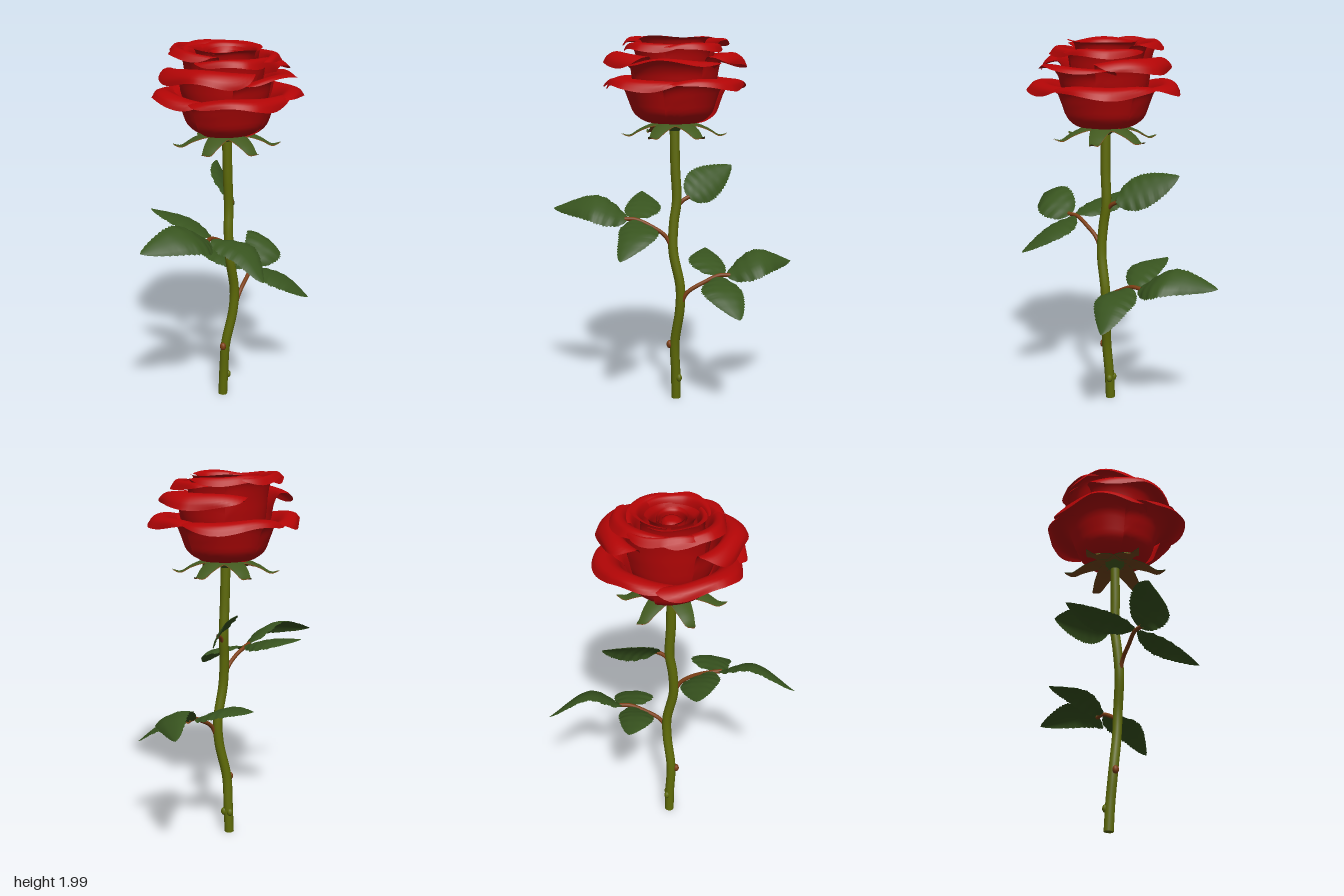
import * as THREE from 'three';

const V = (p) => new THREE.Vector3(...p);
const mat = (name, color, side = THREE.DoubleSide) => {
  const m = new THREE.MeshStandardMaterial({ color, side });
  m.name = name;
  return m;
};

// Sheet shaped by a rule: u runs -1..1 across, v runs 0..1 along
function sheet(nu, nv, rule) {
  const g = new THREE.PlaneGeometry(1, 1, nu, nv);
  const pos = g.attributes.position, uv = g.attributes.uv;
  for (let i = 0; i < pos.count; i++) {
    const p = rule(uv.getX(i) * 2 - 1, uv.getY(i));
    pos.setXYZ(i, p.x, p.y, p.z);
  }
  g.computeVertexNormals();
  return g;
}

const profileCurve = (pts) => new THREE.CatmullRomCurve3(pts.map(([r, y]) => V([r, y, 0])));

// Petal: a radius/height profile swept over an angle, with rounded corners and a wavy, drooping lip
function petalGeometry(angle, half, pts, { wave = 0.012, twist = 0.015, corner = 0.36, droop = 0.06, phase = 0 } = {}) {
  const curve = profileCurve(pts);
  return sheet(30, 24, (u, v) => {
    const t = v * (1 - corner * Math.pow(Math.abs(u), 3.5));
    const p = curve.getPoint(t);
    const lip = Math.pow(t, 4);
    const r = p.x + twist * u * Math.min(1, v * 2) + lip * (0.025 * Math.pow(1 - Math.abs(u), 2) + wave * 0.7 * Math.cos(6 * u + phase));
    const y = p.y + lip * wave * Math.sin(5 * u + phase) - t * t * droop * u * u;
    const a = angle + u * half;
    return new THREE.Vector3(r * Math.cos(a), y, r * Math.sin(a));
  });
}

// Leaf: ovate blade along a curve, edges cupped down, with a toothed outline
function leafGeometry(base, mid, tip, side, width) {
  const curve = new THREE.CatmullRomCurve3([V(base), V(mid), V(tip)]);
  const rows = 40, across = V(side).normalize();
  return sheet(6, rows, (u, v) => {
    const normal = curve.getTangent(v).cross(across).normalize();
    if (normal.y < 0) normal.negate();
    const tooth = Math.abs(u) > 0.99 && Math.round(v * rows) % 2 ? 0.93 : 1;
    const w = width * Math.pow(Math.max(0, Math.sin(Math.PI * Math.pow(v, 0.8))), 0.8) * tooth;
    const lift = w * (0.14 * Math.abs(u) - 0.36 * u * u) + 0.004 * Math.sin(v * 40) * Math.abs(u) * (1 - v);
    return curve.getPoint(v).addScaledVector(across, u * w).addScaledVector(normal, lift);
  });
}

export function createModel() {
  const root = new THREE.Group();
  root.name = 'rose';
  const red = mat('petal red', 0xb40506);
  const green = mat('leaf green', 0x38541f);
  const stemGreen = mat('stem olive', 0x5e6a08);
  const brown = mat('stalk brown', 0x7c3e14);
  const sepalTop = mat('sepal green', 0x42591f);
  const sepalUnder = mat('sepal brown', 0x74461a);
  const add = (parent, name, geometry, material) => {
    const m = new THREE.Mesh(geometry, material);
    m.name = name;
    parent.add(m);
    return m;
  };
  const group = (name) => {
    const g = new THREE.Group();
    g.name = name;
    root.add(g);
    return g;
  };
  const tube = (pts, r, n) => new THREE.TubeGeometry(new THREE.CatmullRomCurve3(pts.map(V)), n, r, 14);

  // Stem with its cut end
  const stemPts = [[-0.03, 0, -0.01], [-0.022, 0.15, -0.008], [-0.008, 0.32, -0.002], [0.025, 0.52, -0.028], [0.032, 0.65, -0.03],
    [0.022, 0.85, 0.008], [0.012, 1.0, 0.004], [0.006, 1.12, -0.012], [0.004, 1.3, -0.004], [0, 1.54, 0]];
  add(root, 'stem', tube(stemPts, 0.026, 60), stemGreen);
  const end = add(root, 'stemEnd', new THREE.CircleGeometry(0.026, 14), stemGreen);
  end.position.set(-0.03, 0.001, -0.01);
  end.rotation.x = Math.PI / 2;

  // Thorn buds
  for (const [x, y, z, m] of [[-0.01, 0.315, 0.028, brown], [-0.006, 0.12, -0.026, stemGreen], [-0.042, 0.12, -0.022, stemGreen]]) {
    const bud = add(root, 'thornBud', new THREE.SphereGeometry(0.016, 12, 8), m);
    bud.position.set(x, y, z);
    bud.scale.set(1.1, 1.4, 1);
  }

  // Leaf stalks
  const leaves = group('leaves');
  const stalks = [
    [[0.022, 0.85, 0.01], [0.022, 0.93, 0.05], [0.02, 0.98, 0.12], [0.01, 1.02, 0.21], [0.02, 1.025, 0.27]],
    [[0.035, 0.54, -0.03], [0.048, 0.62, -0.065], [0.05, 0.68, -0.16], [0.045, 0.715, -0.24], [0.04, 0.715, -0.3]],
    [[0.004, 1.08, -0.01], [0.002, 1.12, -0.045], [-0.005, 1.14, -0.08]],
  ];
  for (const s of stalks) add(leaves, 'leafStalk', tube(s, 0.011, 20), brown);

  // Leaf blades: base, middle, tip, sideways direction, half width
  const blades = [
    [[0.02, 1.02, 0.25], [0.0, 1.1, 0.43], [-0.15, 1.06, 0.66], [0.86, -0.5, 0.15], 0.12],
    [[0.01, 1.025, 0.21], [-0.17, 1.085, 0.16], [-0.37, 1.12, 0.17], [0.03, 0.1, 1], 0.1],
    [[0.02, 1.02, 0.22], [0.2, 0.98, 0.2], [0.35, 0.86, 0.29], [-0.15, -0.05, 1], 0.11],
    [[0.04, 0.71, -0.28], [0.03, 0.8, -0.46], [-0.15, 0.75, -0.66], [0.86, -0.45, -0.15], 0.12],
    [[0.04, 0.71, -0.23], [-0.12, 0.78, -0.18], [-0.3, 0.8, -0.19], [0.03, 0.05, 1], 0.1],
    [[0.05, 0.71, -0.24], [0.22, 0.67, -0.25], [0.36, 0.55, -0.32], [0.1, 0.05, 1], 0.115],
    [[-0.003, 1.135, -0.07], [-0.105, 1.215, -0.185], [-0.22, 1.285, -0.33], [-0.3, 0.7, 0.65], 0.105],
  ];
  for (const b of blades) add(leaves, 'leaf', leafGeometry(...b), green);

  // Calyx and six drooping sepals, green above with a brown underside
  const calyx = group('calyx');
  add(calyx, 'receptacle', new THREE.CylinderGeometry(0.07, 0.027, 0.05, 18), sepalTop).position.y = 1.52;
  const sepalCurve = profileCurve([[0.02, 1.537], [0.1, 1.54], [0.18, 1.51], [0.24, 1.475], [0.285, 1.485]]);
  for (let k = 0; k < 6; k++) {
    const a = Math.PI / 2 + (k * Math.PI) / 3;
    const sepal = (drop) => sheet(6, 14, (u, v) => {
      const p = sepalCurve.getPoint(v);
      const w = u * 0.068 * Math.pow(1 - v, 0.75);
      const y = p.y - 0.016 * u * u * (1 - v) - drop;
      return new THREE.Vector3(p.x * Math.cos(a) - w * Math.sin(a), y, p.x * Math.sin(a) + w * Math.cos(a));
    });
    add(calyx, 'sepal', sepal(0), sepalTop);
    add(calyx, 'sepalUnderside', sepal(0.004), sepalUnder);
  }

  // Bloom: rings of petals from the outside in
  const bloom = group('bloom');
  const lower = [[0.02, 1.545], [0.13, 1.54], [0.2, 1.585], [0.23, 1.66], [0.26, 1.735], [0.31, 1.775], [0.36, 1.765], [0.375, 1.73]];
  const upper = [[0.1, 1.58], [0.19, 1.66], [0.22, 1.75], [0.235, 1.84], [0.265, 1.9], [0.31, 1.905], [0.345, 1.875], [0.35, 1.84]];
  const right = [[0.1, 1.58], [0.19, 1.66], [0.22, 1.74], [0.235, 1.81], [0.27, 1.86], [0.33, 1.87], [0.35, 1.855]];
  const tall = [[0.1, 1.58], [0.19, 1.66], [0.215, 1.78], [0.225, 1.88], [0.24, 1.955], [0.265, 1.99], [0.285, 1.96]];
  const middle = [[0.1, 1.62], [0.165, 1.72], [0.185, 1.84], [0.195, 1.91], [0.215, 1.95], [0.245, 1.95], [0.26, 1.915]];
  const middleTall = [[0.1, 1.62], [0.165, 1.72], [0.185, 1.84], [0.2, 1.92], [0.225, 1.975], [0.26, 1.985], [0.285, 1.95]];
  const inner = [[0.06, 1.65], [0.13, 1.75], [0.15, 1.86], [0.148, 1.93], [0.16, 1.975], [0.18, 1.985]];
  const heart = [[0.05, 1.65], [0.095, 1.76], [0.108, 1.86], [0.1, 1.93], [0.11, 1.965]];
  const bud = [[0.04, 1.65], [0.07, 1.78], [0.076, 1.88], [0.07, 1.94], [0.074, 1.955]];
  const ring = (name, start, half, profiles, opts) => profiles.forEach((pts, k) => {
    const angle = start + (k * 2 * Math.PI) / profiles.length;
    add(bloom, name, petalGeometry(angle, half, pts, { ...opts, phase: k * 1.7 }), red);
  });
  ring('lowerPetal', Math.PI / 4, 1.04, [lower, lower, lower, lower], { wave: 0.018 });
  ring('upperPetal', 0, 1.0, [right, upper, tall, upper], { wave: 0.015 });
  ring('middlePetal', Math.PI / 4, 1.05, [middle, middleTall, middleTall, middle], { wave: 0.01, corner: 0.25, droop: 0.04 });
  ring('innerPetal', 0.3, 1.3, [inner, inner, inner], { wave: 0.005, corner: 0.1, droop: 0.01 });
  ring('heartPetal', 1.3, 1.75, [heart, heart], { wave: 0.002, corner: 0.03, twist: 0.01, droop: 0 });
  ring('budPetal', 0.2, 1.75, [bud, bud], { wave: 0, corner: 0.01, twist: 0.006, droop: 0 });

  // Closed core of the bloom
  const core = [[0.03, 1.65], [0.055, 1.8], [0.054, 1.9], [0.048, 1.935], [0.03, 1.942], [0, 1.943]];
  add(bloom, 'core', new THREE.LatheGeometry(core.map(([r, y]) => new THREE.Vector2(r, y)), 24), red);

  return root;
}
